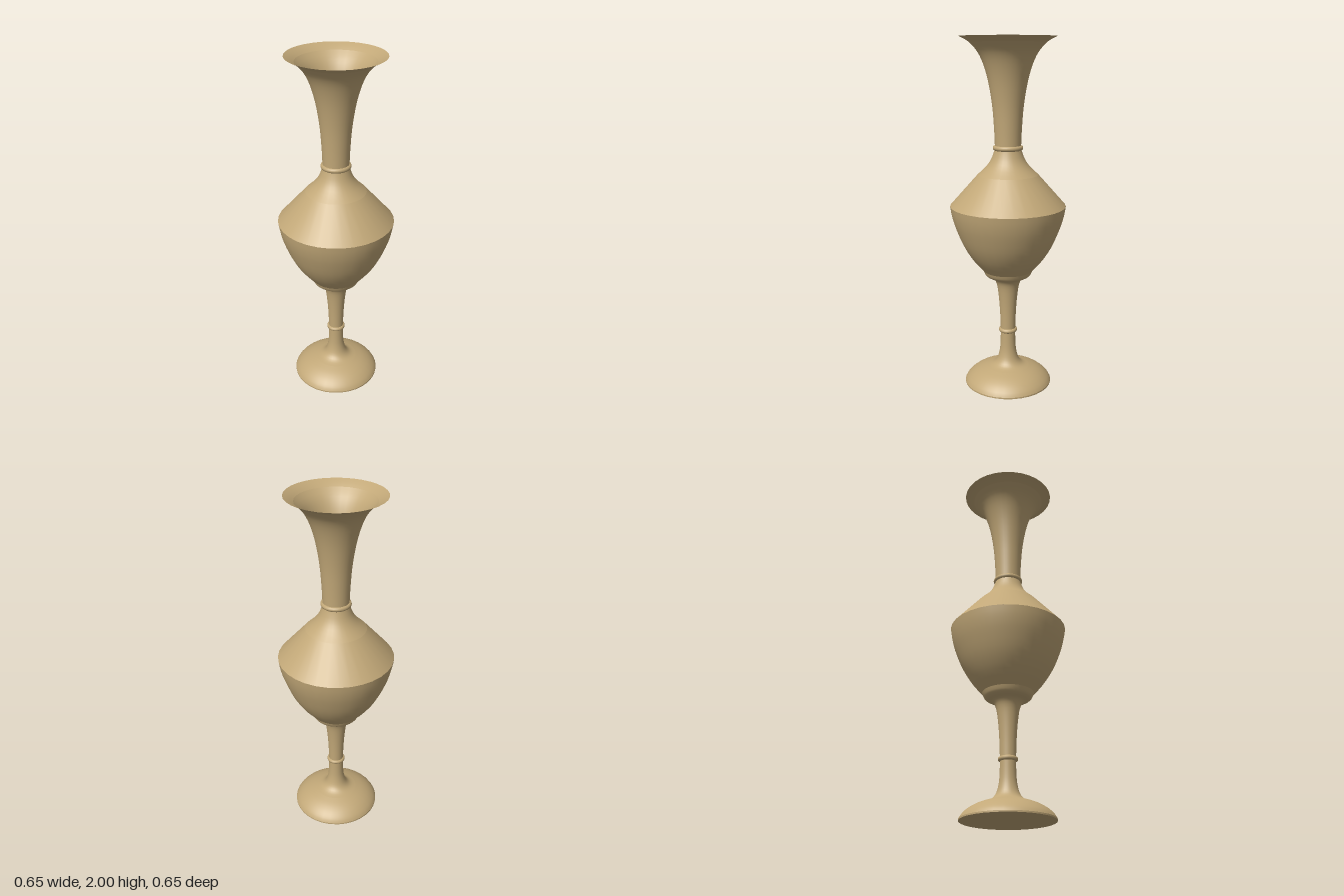
import * as THREE from 'three';

const SEGMENTS = 32;

export function createModel() {
  const group = new THREE.Group();
  const clay = new THREE.MeshStandardMaterial({ color: 0xc2a878, side: THREE.DoubleSide });
  clay.name = 'tan clay';

  // Revolve [radius, height] points; curved profiles are smoothed by a spline
  function turned(name, profile, divisions = 0) {
    let points = profile.map(([r, y]) => new THREE.Vector2(r, y));
    if (divisions) points = new THREE.SplineCurve(points).getPoints(divisions);
    const mesh = new THREE.Mesh(new THREE.LatheGeometry(points, SEGMENTS), clay);
    mesh.name = name;
    group.add(mesh);
  }

  // Rounded band around the stem or neck
  function band(name, radius, y, thickness) {
    const geometry = new THREE.TorusGeometry(radius, thickness, 10, SEGMENTS);
    geometry.rotateX(Math.PI / 2);
    const mesh = new THREE.Mesh(geometry, clay);
    mesh.name = name;
    mesh.position.y = y;
    group.add(mesh);
  }

  // Foot
  turned('footBase', [[0, 0], [0.254, 0]]);
  turned('footEdge', [[0.254, 0], [0.254, 0.008]]);
  turned('footDome', [[0.254, 0.008], [0.24, 0.03], [0.21, 0.057], [0.17, 0.08], [0.125, 0.097]], 12);

  // Stem
  turned('lowerStem', [[0.125, 0.097], [0.088, 0.111], [0.063, 0.14], [0.049, 0.19], [0.044, 0.25], [0.043, 0.32]], 16);
  band('stemBand', 0.041, 0.322, 0.013);
  turned('upperStem', [[0.043, 0.32], [0.046, 0.42], [0.053, 0.52], [0.064, 0.6], [0.082, 0.638], [0.11, 0.652]], 16);
  turned('bowlCollar', [[0.11, 0.652], [0.13, 0.665], [0.143, 0.692]], 6);

  // Body
  turned('bowl', [[0.143, 0.692], [0.205, 0.765], [0.257, 0.85], [0.298, 0.95], [0.318, 1.02], [0.327, 1.073]], 16);
  turned('shoulder', [[0.327, 1.073], [0.17, 1.25]]);
  turned('shoulderCurve', [[0.17, 1.25], [0.125, 1.292], [0.095, 1.335], [0.078, 1.38], [0.073, 1.4]], 10);

  // Neck and flared mouth
  band('neckBand', 0.071, 1.4, 0.014);
  turned('neck', [[0.073, 1.4], [0.077, 1.5], [0.087, 1.63], [0.108, 1.76], [0.137, 1.86], [0.17, 1.925], [0.212, 1.97]], 20);
  turned('lip', [[0.212, 1.97], [0.235, 1.985], [0.265, 2]], 4);

  return group;
}
